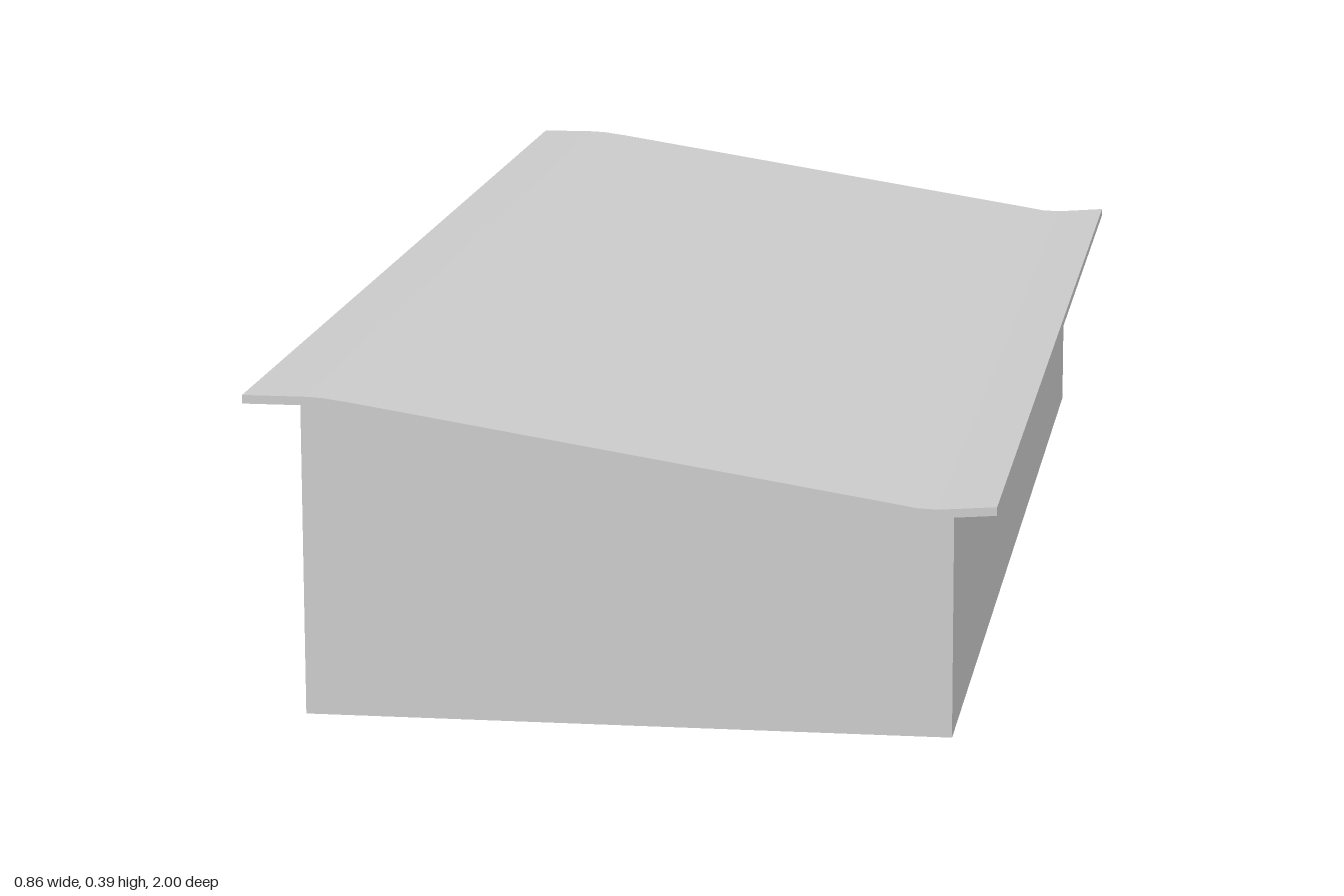
import * as THREE from 'three';

const W = 0.378;   // half width of the walls
const L = 0.945;   // half length of the walls
const T = 0.035;   // wall thickness
const FLOOR = 0.055;

export function createModel() {
  const group = new THREE.Group();
  const mat = new THREE.MeshStandardMaterial({ color: 0xcccccc, flatShading: true });

  const add = (name, geometry, x = 0, y = 0, z = 0) => {
    const mesh = new THREE.Mesh(geometry, mat);
    mesh.name = name;
    mesh.position.set(x, y, z);
    group.add(mesh);
  };
  const polygon = (pts) => new THREE.Shape(pts.map(([x, y]) => new THREE.Vector2(x, y)));
  const rect = (a0, b0, a1, b1) => polygon([[a0, b0], [a1, b0], [a1, b1], [a0, b1]]);
  const extrude = (shape, depth) => new THREE.ExtrudeGeometry(shape, { depth, bevelEnabled: false });
  // Shape drawn in (z, y), thickened towards -x
  const extrudeSide = (shape, depth) => extrude(shape, depth).rotateY(-Math.PI / 2);

  // Roof: thin sheet with softly bent eaves
  const under = [[-0.433, 0.38], [-0.36, 0.38], [-0.34, 0.379], [-0.31, 0.375],
    [0.31, 0.277], [0.34, 0.272], [0.365, 0.271], [0.431, 0.276]];
  const over = under.map(([x, y]) => [x, y + 0.01]).reverse();
  add('roof', extrude(polygon([...under, ...over]), 2), 0, 0, -1);

  // End walls follow the underside of the roof
  const end = [[-W, 0], [W, 0], [W, 0.272], ...under.slice(1, -1).reverse(), [-W, 0.38]];
  add('frontWall', extrude(polygon(end), T), 0, 0, L - T);
  add('backWall', extrude(polygon(end), T), 0, 0, -L);

  // Low side wall, closed
  const inner = L - T;
  add('lowSideWall', new THREE.BoxGeometry(T, 0.271, 2 * inner), W - T / 2, 0.1355, 0);

  // High side wall with a narrow window and a wide opening
  const wall = rect(-inner, 0, inner, 0.38);
  const windowHole = [-0.78, FLOOR, -0.667, 0.27];
  const wideHole = [0.139, FLOOR, 0.738, 0.32];
  wall.holes.push(rect(...windowHole), rect(...wideHole));
  add('highSideWall', extrudeSide(wall, T), -W + T, 0, 0);

  // Slim frame lining the narrow window, slightly proud of the wall
  const [a0, b0, a1, b1] = windowHole;
  const frame = rect(a0, b0, a1, b1);
  frame.holes.push(rect(a0 + 0.003, b0 + 0.003, a1 - 0.003, b1 - 0.003));
  add('windowFrame', extrudeSide(frame, T + 0.002), -W + T, 0, 0);

  // Raised floor slab between the walls
  add('floor', new THREE.BoxGeometry(2 * (W - T), FLOOR, 2 * inner), 0, FLOOR / 2, 0);

  return group;
}
